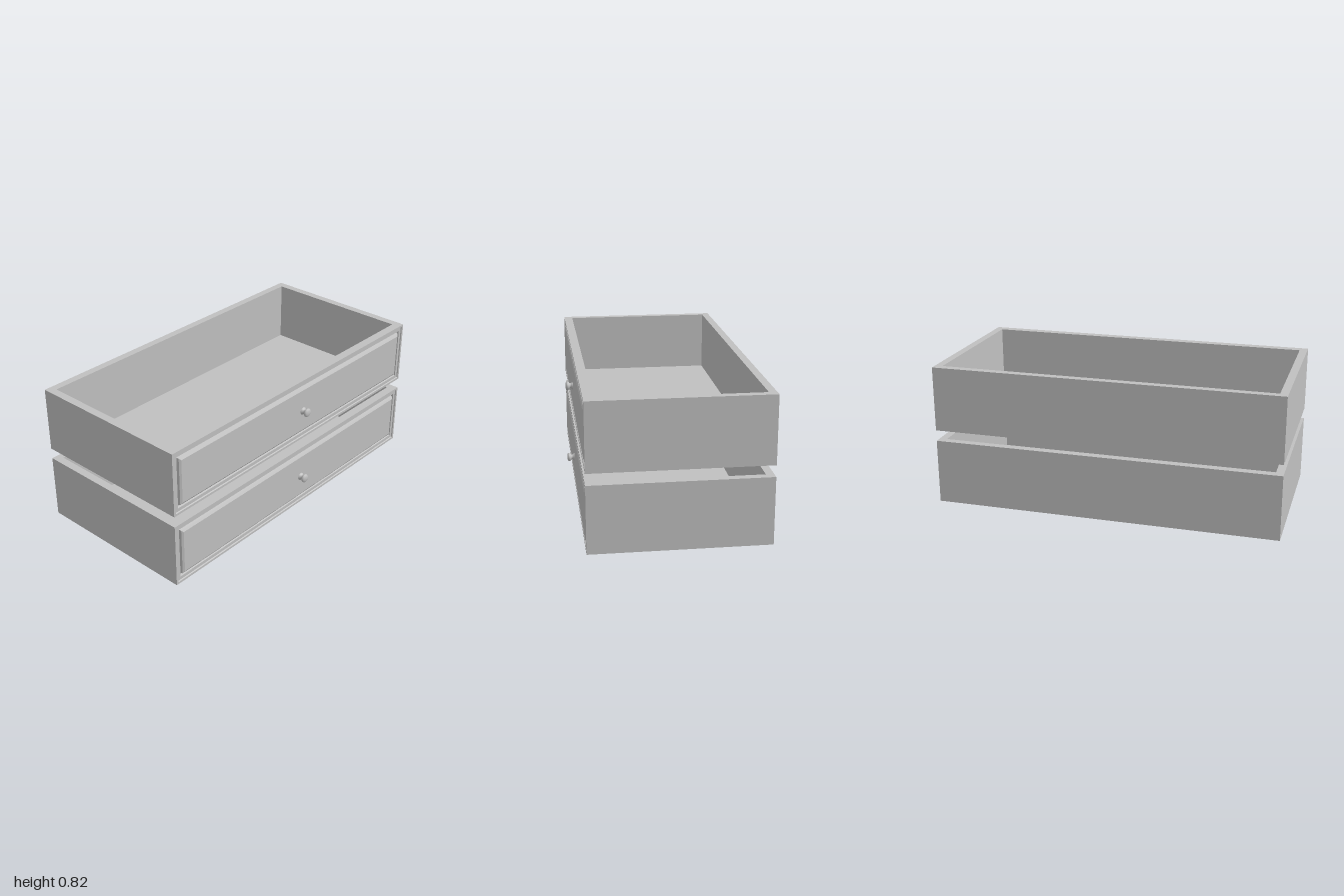
import * as THREE from 'three';

const W = 2, H = 0.377, BACK = -0.512, FACE = 0.467, JOINT = 0.44;

// Nested rectangles [inset, z], joined by flat bands and capped in the middle
function mouldedFront(rings) {
  const pos = [];
  const corners = ([i, z]) => [
    [-W / 2 + i, i, z], [W / 2 - i, i, z], [W / 2 - i, H - i, z], [-W / 2 + i, H - i, z],
  ];
  const quad = (a, b, c, d) => pos.push(...a, ...b, ...c, ...a, ...c, ...d);
  for (let r = 0; r < rings.length - 1; r++) {
    const o = corners(rings[r]), n = corners(rings[r + 1]);
    for (let k = 0; k < 4; k++) quad(o[k], o[(k + 1) % 4], n[(k + 1) % 4], n[k]);
  }
  quad(...corners(rings[rings.length - 1]));
  const g = new THREE.BufferGeometry();
  g.setAttribute('position', new THREE.Float32BufferAttribute(pos, 3));
  g.computeVertexNormals();
  return g;
}

// Rectangle in plan; shape y is -z
function planRect(Type, x, zMin, zMax) {
  return new Type([[-x, -zMax], [x, -zMax], [x, -zMin], [-x, -zMin]].map(p => new THREE.Vector2(...p)));
}

export function createModel() {
  const model = new THREE.Group();
  model.name = 'drawers';
  const grey = new THREE.MeshStandardMaterial({ color: 0xc0c0c0 });
  grey.name = 'grey';

  // Four walls around the open tray
  const floorY = 0.02;
  const plan = planRect(THREE.Shape, W / 2, BACK, JOINT);
  plan.holes.push(planRect(THREE.Path, 0.955, -0.468, 0.416));
  const wallGeo = new THREE.ExtrudeGeometry(plan, { depth: H - floorY, bevelEnabled: false });
  wallGeo.rotateX(-Math.PI / 2).translate(0, floorY, 0);

  const floorGeo = new THREE.BoxGeometry(W, floorY, JOINT - BACK);
  floorGeo.translate(0, floorY / 2, (JOINT + BACK) / 2);

  // Rim, stepped moulding, groove and raised panel
  const frontGeo = mouldedFront([
    [0, JOINT], [0, FACE], [0.013, FACE], [0.016, 0.461], [0.035, 0.461],
    [0.039, 0.45], [0.045, 0.45], [0.049, 0.463], [0.06, 0.47],
  ]);

  // Turned knob: flared foot, neck and rounded head
  const knobGeo = new THREE.LatheGeometry([
    [0.022, 0], [0.022, 0.006], [0.016, 0.011], [0.014, 0.018], [0.016, 0.023],
    [0.022, 0.026], [0.025, 0.031], [0.025, 0.037], [0.021, 0.042], [0.012, 0.045], [0, 0.046],
  ].map(p => new THREE.Vector2(...p)), 24);
  knobGeo.rotateX(Math.PI / 2).translate(0.025, 0.184, FACE);

  for (const [name, y] of [['lowerDrawer', 0], ['upperDrawer', 0.441]]) {
    const drawer = new THREE.Group();
    drawer.name = name;
    drawer.position.y = y;
    for (const [part, geo] of [['walls', wallGeo], ['floor', floorGeo], ['frontPanel', frontGeo], ['knob', knobGeo]]) {
      const mesh = new THREE.Mesh(geo, grey);
      mesh.name = part;
      drawer.add(mesh);
    }
    model.add(drawer);
  }
  return model;
}
